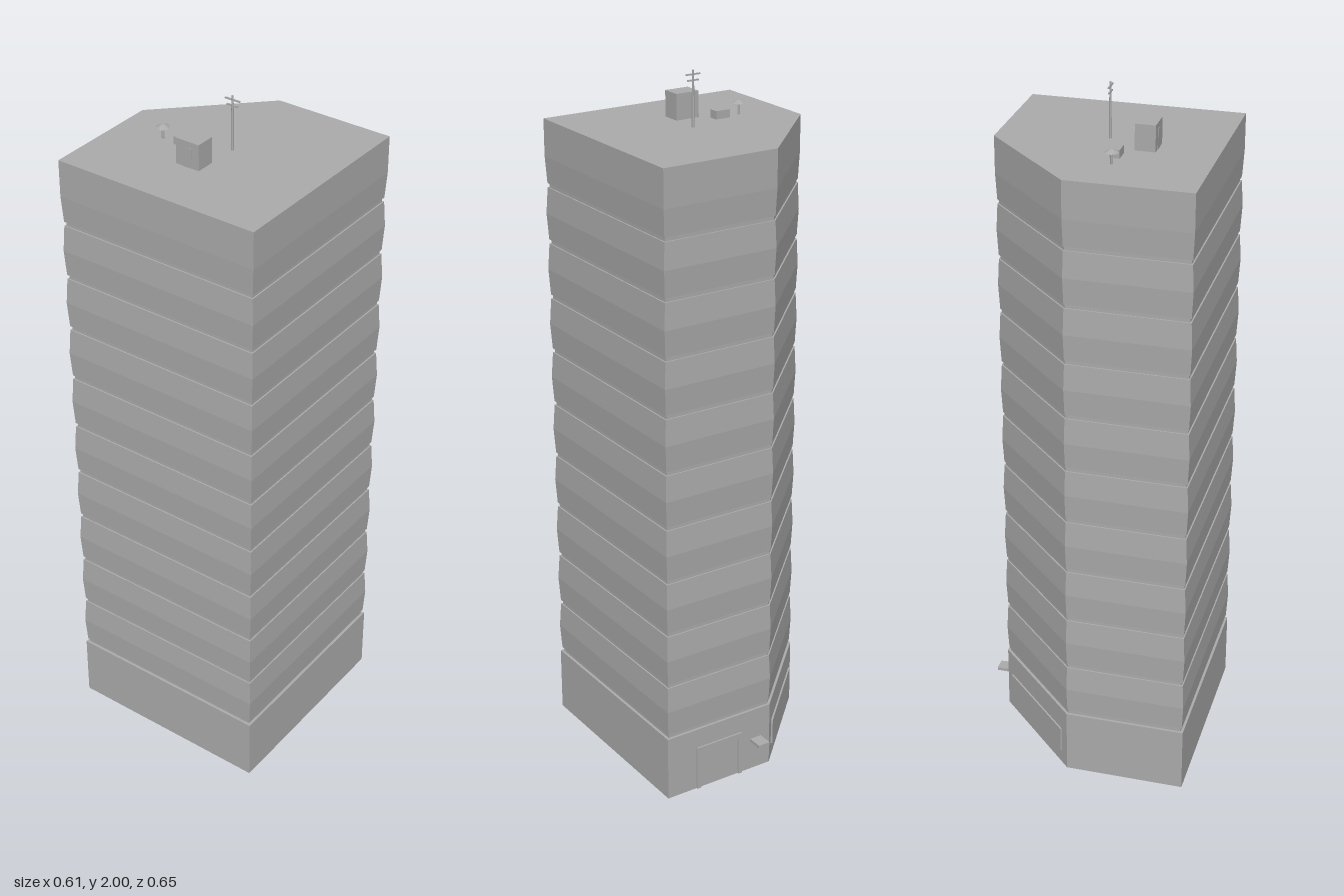
import * as THREE from 'three';

export function createModel() {
  const model = new THREE.Group();
  const concrete = new THREE.MeshStandardMaterial({ color: 0xaaaaaa });

  const add = (name, geometry, x = 0, y = 0, z = 0, parent = model) => {
    const g = geometry.index ? geometry.toNonIndexed() : geometry;
    g.computeVertexNormals(); // flat faces
    const mesh = new THREE.Mesh(g, concrete);
    mesh.name = name;
    mesh.position.set(x, y, z);
    parent.add(mesh);
    return mesh;
  };
  // Box given by its limits on each axis
  const box = (name, x0, x1, y0, y1, z0, z1, parent) =>
    add(name, new THREE.BoxGeometry(x1 - x0, y1 - y0, z1 - z0),
      (x0 + x1) / 2, (y0 + y1) / 2, (z0 + z1) / 2, parent);
  const group = (name) => {
    const g = new THREE.Group();
    g.name = name;
    model.add(g);
    return g;
  };

  // Tower: five-sided footprint, one corner cut off, stacked as inset rings
  const roof = 1.845;
  const plan = [[-0.306, 0.325], [0.306, 0.325], [0.306, -0.283], [-0.043, -0.283], [-0.306, -0.021]]
    .map(([x, z]) => new THREE.Vector2(x, z));
  const n = plan.length;
  const inward = plan.map((p, i) => {
    const d = plan[(i + 1) % n].clone().sub(p).normalize();
    return new THREE.Vector2(d.y, -d.x);
  });
  const ring = (y, inset) => plan.map((p, i) => {
    const a = inward[(i + n - 1) % n], b = inward[i];
    const q = a.clone().add(b).multiplyScalar(inset / (1 + a.dot(b))).add(p);
    return [q.x, y, q.y];
  });

  // Each storey bulges slightly between narrow recessed joints
  const rings = [ring(0, 0)];
  const joints = 10, pitch = 0.162, first = 0.2;
  for (let i = 0; i < joints; i++) {
    const y = first + i * pitch;
    rings.push(ring(y - 0.006, i ? 0.004 : 0), ring(y - 0.006, 0.008),
      ring(y + 0.006, 0.008), ring(y + 0.006, 0.004), ring(y + pitch / 2, 0));
  }
  rings.push(ring(roof, 0));

  const pos = [];
  const tri = (a, b, c) => pos.push(...a, ...b, ...c);
  for (let r = 0; r < rings.length - 1; r++) {
    const lo = rings[r], hi = rings[r + 1];
    for (let i = 0; i < n; i++) {
      const j = (i + 1) % n;
      tri(lo[i], lo[j], hi[j]);
      tri(lo[i], hi[j], hi[i]);
    }
  }
  const base = rings[0], top = rings[rings.length - 1];
  for (let i = 1; i < n - 1; i++) {
    tri(top[0], top[i], top[i + 1]);
    tri(base[0], base[i + 1], base[i]);
  }
  const tower = new THREE.BufferGeometry();
  tower.setAttribute('position', new THREE.Float32BufferAttribute(pos, 3));
  add('tower', tower);

  // Back entrance: raised frame around the doorway
  const entrance = group('entranceFrame');
  box('leftPost', 0.197, 0.21, 0, 0.135, -0.288, -0.28, entrance);
  box('rightPost', 0.055, 0.068, 0, 0.135, -0.288, -0.28, entrance);
  box('lintel', 0.068, 0.197, 0.122, 0.135, -0.288, -0.28, entrance);

  // Small plate jutting out beside the entrance
  box('hangingPlate', -0.013, 0.024, 0.09, 0.1, -0.328, -0.28);

  // Window panel on the cut corner
  add('shopWindow', new THREE.BoxGeometry(0.31, 0.078, 0.008), -0.1755, 0.083, -0.1525)
    .rotation.y = Math.PI / 4;

  // Roof hut with its door
  const hut = group('roofHut');
  box('hutWalls', -0.054, 0.018, roof, 1.918, 0.104, 0.16, hut);
  box('hutDoor', -0.031, -0.005, roof, 1.9, 0.158, 0.161, hut);
  box('ventBox', -0.123, -0.078, roof, 1.868, 0.054, 0.082);

  // Capped vent pipe
  const vent = group('ventPipe');
  add('pipe', new THREE.CylinderGeometry(0.004, 0.004, 0.035, 8), -0.164, roof + 0.0175, 0.072, vent);
  add('cap', new THREE.CylinderGeometry(0.006, 0.02, 0.009, 8), -0.164, 1.881, 0.072, vent);

  // Antenna mast with two crossbars
  const antenna = group('antenna');
  add('mast', new THREE.CylinderGeometry(0.003, 0.004, 2 - roof, 6), 0.02, (2 + roof) / 2, 0.019, antenna);
  box('upperBar', -0.003, 0.043, 1.986, 1.99, 0.017, 0.021, antenna);
  box('lowerBar', 0.003, 0.037, 1.97, 1.974, 0.017, 0.021, antenna);

  return model;
}
